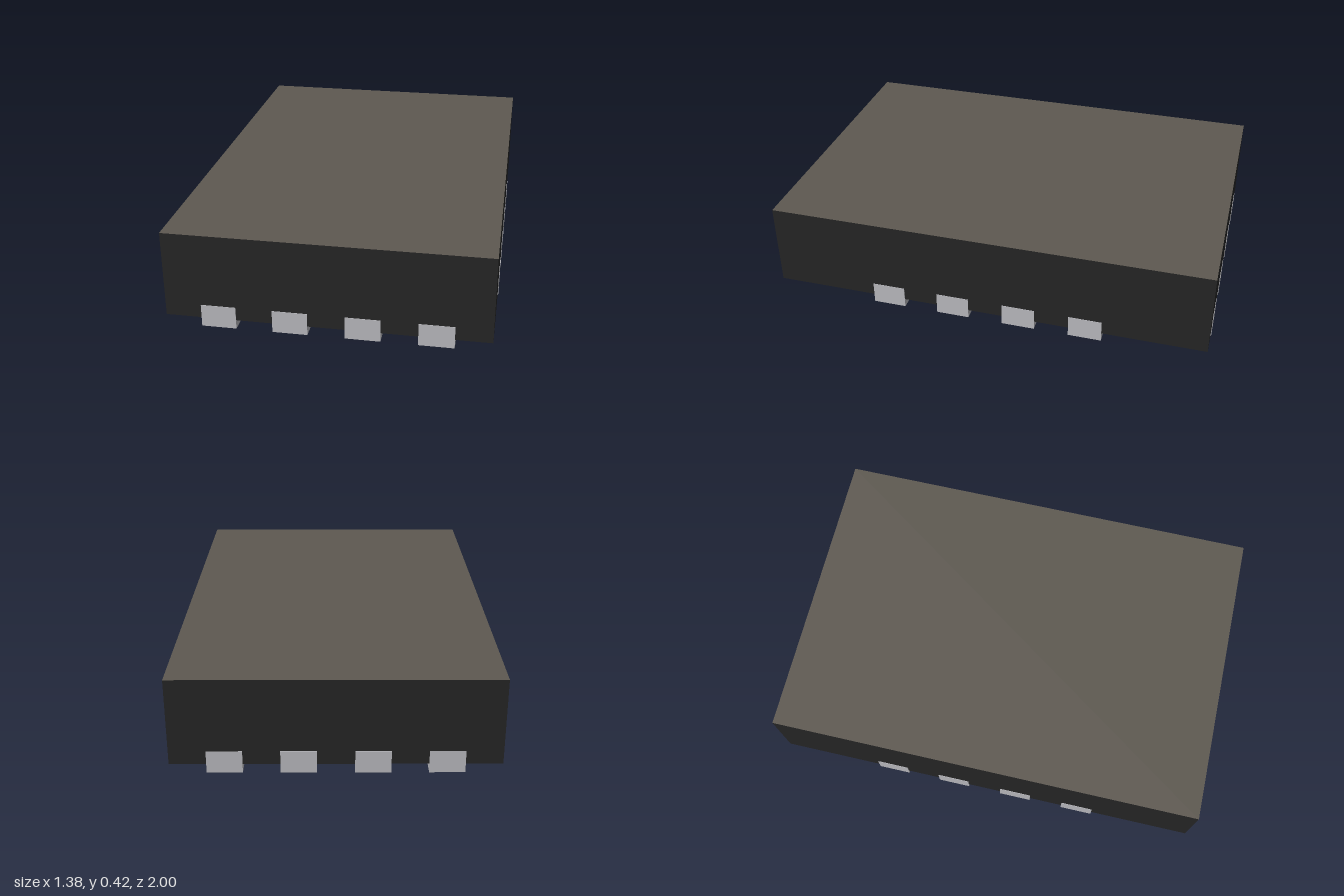
import * as THREE from 'three';

const WIDTH = 1.38, LENGTH = 2, BASE = 0.04, TOP = 0.424;
const PAD_W = 0.15, PAD_L = 0.305, LIP_TOP = 0.1, SKIN = 0.002;

export function createModel() {
  const black = new THREE.MeshStandardMaterial({ name: 'black casing', color: 0x262626 });
  const brown = new THREE.MeshStandardMaterial({ name: 'brown grey top', color: 0x5e5951 });
  const metal = new THREE.MeshStandardMaterial({ name: 'grey metal', color: 0xbcbcc1 });

  const model = new THREE.Group();
  model.name = 'leadlessChip';

  const add = (parent, name, geometry, material, x = 0, y = 0, z = 0) => {
    const mesh = new THREE.Mesh(geometry, material);
    mesh.name = name;
    mesh.position.set(x, y, z);
    parent.add(mesh);
    return mesh;
  };

  // Casing: one block whose upper face has its own colour
  add(model, 'casing', new THREE.BoxGeometry(WIDTH, TOP - BASE, LENGTH),
    [black, black, brown, black, black, black], 0, (TOP + BASE) / 2, 0);

  // Contact: flat pad underneath plus a thin lip on the wall.
  // Built with its outer end at the origin, facing +z.
  const makeContact = (name, length, chamfer) => {
    const contact = new THREE.Group();
    contact.name = name;
    const h = PAD_W / 2;
    const outline = new THREE.Shape();
    outline.moveTo(-h, 0);
    outline.lineTo(h, 0);
    if (chamfer) {
      outline.lineTo(h, length - chamfer);
      outline.lineTo(h - chamfer, length);
    } else {
      outline.lineTo(h, length);
    }
    outline.lineTo(-h, length);
    outline.closePath();
    const pad = new THREE.ExtrudeGeometry(outline, { depth: BASE, bevelEnabled: false });
    pad.rotateX(-Math.PI / 2);
    add(contact, 'pad', pad, metal);
    add(contact, 'wallLip', new THREE.BoxGeometry(PAD_W, LIP_TOP, SKIN * 2), metal, 0, LIP_TOP / 2, 0);
    return contact;
  };

  // Four contacts along each of the four sides
  const sides = [
    { name: 'front', angle: 0, reach: LENGTH / 2 },
    { name: 'left', angle: Math.PI / 2, reach: WIDTH / 2 },
    { name: 'back', angle: Math.PI, reach: LENGTH / 2 },
    { name: 'right', angle: -Math.PI / 2, reach: WIDTH / 2 },
  ];
  for (const { name, angle, reach } of sides) {
    const row = new THREE.Group();
    row.name = name + 'Contacts';
    row.rotation.y = angle;
    [-0.46, -0.154, 0.154, 0.46].forEach((offset, i) => {
      // The first contact is longer, with one corner cut
      const first = name === 'right' && i === 0;
      const contact = first
        ? makeContact('firstContact', 0.38, 0.075)
        : makeContact('contact', PAD_L, 0);
      if (first) contact.children[0].scale.x = 1;
      contact.position.set(offset, 0, reach);
      row.add(contact);
    });
    model.add(row);
  }
  return model;
}
